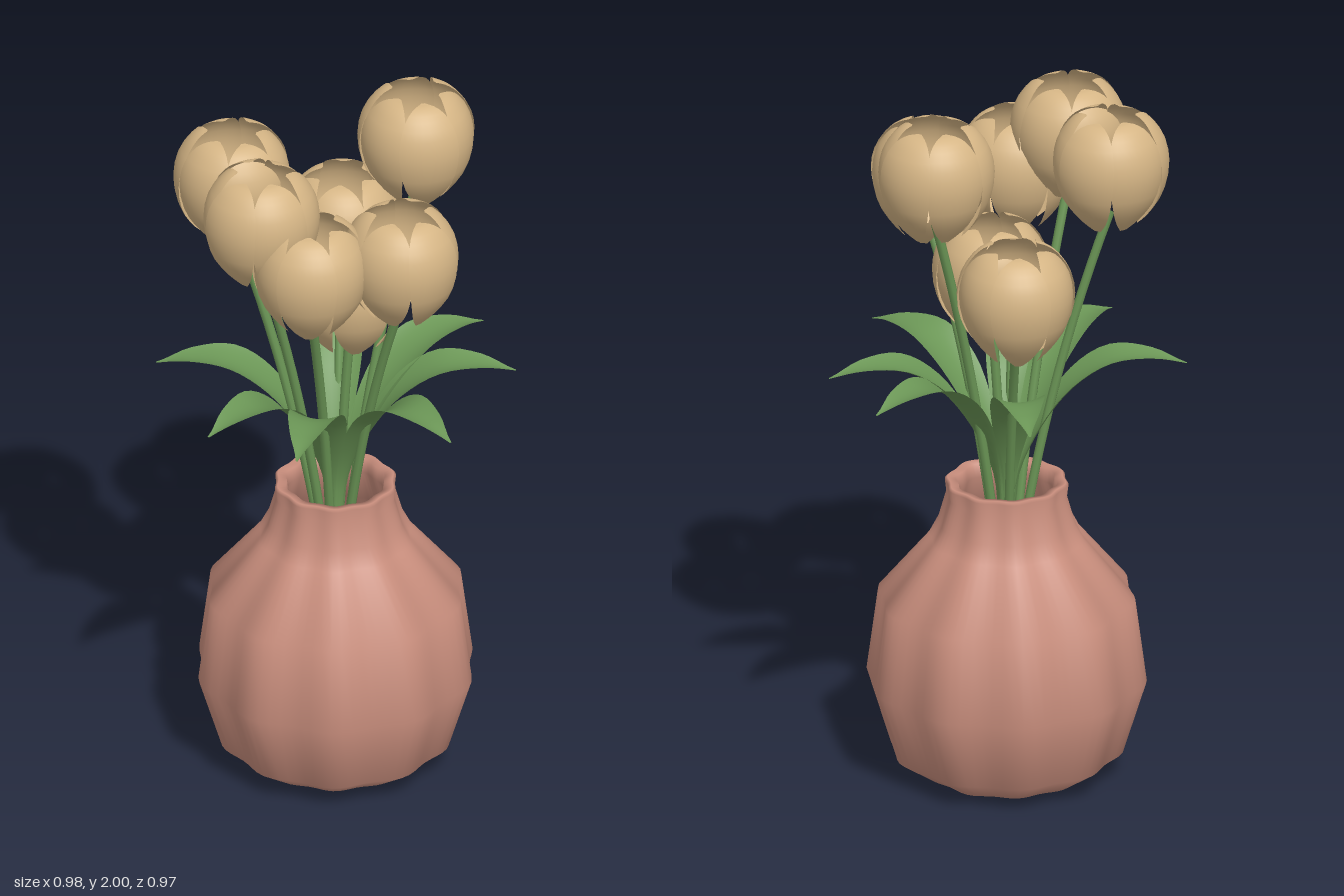
import * as THREE from 'three';
import { mergeVertices } from 'three/addons/utils/BufferGeometryUtils.js';
import { ParametricGeometry } from 'three/addons/geometries/ParametricGeometry.js';

const mat = (name, color, side = THREE.FrontSide) => {
  const m = new THREE.MeshStandardMaterial({ color, side });
  m.name = name;
  return m;
};
const clay = mat('clay pink', 0xc98e7d);
const cream = mat('petal cream', 0xd5b585, THREE.DoubleSide);
const green = mat('leaf green', 0x6b9656, THREE.DoubleSide);

const V = (x, y, z) => new THREE.Vector3(x, y, z);

function mesh(name, geometry, material) {
  const m = new THREE.Mesh(geometry, material);
  m.name = name;
  return m;
}

// Fluted vase with a hollow neck and inner wall
function makeVase() {
  const profile = [
    [0.001, 0], [0.21, 0], [0.22, 0.004], [0.315, 0.07], [0.378, 0.28], [0.347, 0.52], [0.21, 0.69],
    [0.185, 0.74], [0.163, 0.82], [0.167, 0.855], [0.16, 0.862], [0.137, 0.858], [0.132, 0.82],
    [0.16, 0.72], [0.31, 0.51], [0.335, 0.28], [0.26, 0.08], [0.001, 0.04],
  ].map(([r, y]) => new THREE.Vector2(r, y));
  let g = new THREE.LatheGeometry(profile, 80);
  const p = g.attributes.position;
  for (let i = 0; i < p.count; i++) {
    const x = p.getX(i), z = p.getZ(i);
    const s = 1 + 0.028 * Math.cos(10 * Math.atan2(x, z) + 0.6);
    p.setX(i, x * s);
    p.setZ(i, z * s);
  }
  g.deleteAttribute('normal');
  g.deleteAttribute('uv');
  g = mergeVertices(g, 1e-5);
  g.computeVertexNormals();
  return mesh('vase', g, clay);
}

// Petal rows: half width, height, distance from the flower axis
const petalRows = new THREE.CatmullRomCurve3([
  V(0.010, 0, 0.072), V(0.042, 0.04, 0.108), V(0.072, 0.10, 0.145), V(0.088, 0.18, 0.161),
  V(0.083, 0.245, 0.150), V(0.058, 0.295, 0.118), V(0.03, 0.315, 0.09), V(0.005, 0.32, 0.068),
]);

function petalGeometry(offset) {
  return new ParametricGeometry((u, v, target) => {
    const row = petalRows.getPoint(v);
    const r = row.z + offset;
    const a = (u * 2 - 1) * row.x / r;
    target.set(Math.sin(a) * r, row.y, Math.cos(a) * r);
  }, 8, 16);
}
const petals = [petalGeometry(0.002), petalGeometry(-0.004)];

// Cup of six overlapping petals, open at both ends
function makeFlower(x, y, z, turn) {
  const flower = new THREE.Group();
  flower.name = 'flower';
  for (let i = 0; i < 6; i++) {
    const petal = mesh('petal', petals[i % 2], cream);
    petal.rotation.y = i * Math.PI / 3 + turn;
    flower.add(petal);
  }
  flower.position.set(x, y, z);
  return flower;
}

// Stem that rises from the vase and bends out to the flower
function makeStem(x, y, z) {
  const curve = new THREE.QuadraticBezierCurve3(
    V(-x * 0.1, 0.06, -z * 0.1), V(x * 0.12, 0.95, z * 0.12), V(x, y + 0.03, z));
  return mesh('stem', new THREE.TubeGeometry(curve, 20, 0.013, 8), green);
}

// Arching leaf: spine in the x-y plane, half widths along it
const spine = new THREE.CatmullRomCurve3([
  V(0.02, 0.72, 0), V(0.035, 0.88, 0), V(0.10, 1.03, 0), V(0.19, 1.15, 0),
  V(0.29, 1.215, 0), V(0.40, 1.222, 0), V(0.495, 1.2, 0),
]);
const widths = new THREE.SplineCurve([
  [0, 0.014], [0.2, 0.022], [0.4, 0.048], [0.6, 0.069], [0.75, 0.069], [0.9, 0.04], [1, 0.003],
].map(([t, w]) => new THREE.Vector2(t, w)));
const leafGeometry = new ParametricGeometry((u, v, target) => {
  const s = u * 2 - 1;
  const w = Math.max(0.003, widths.getPoint(v).y);
  const p = spine.getPoint(v), t = spine.getTangent(v);
  const lift = 0.25 * w * s * s; // edges cup towards the upper face
  target.set(p.x - t.y * lift, p.y + t.x * lift, -s * w);
}, 8, 24);

export function createModel() {
  const model = new THREE.Group();
  model.name = 'vase of flowers';
  model.add(makeVase());

  // Flower base positions
  const flowers = [
    [0.03, 1.35, -0.275], [0.23, 1.68, -0.15], [-0.28, 1.625, -0.045], [-0.215, 1.63, 0.195],
    [0.17, 1.515, 0.23], [-0.08, 1.51, 0.275], [0.04, 1.305, 0.015],
  ];
  flowers.forEach(([x, y, z], i) => {
    model.add(makeStem(x, y, z), makeFlower(x, y, z, Math.atan2(x, z) + (i % 2) * 0.15));
  });

  // One leaf below each flower, given by its tip direction
  const tips = [[0.49, 0.01], [0.41, -0.26], [0.035, -0.49], [-0.49, -0.08], [-0.37, 0.34], [-0.13, 0.48], [0.3, 0.4]];
  for (const [x, z] of tips) {
    const leaf = mesh('leaf', leafGeometry, green);
    leaf.rotation.y = Math.atan2(-z, x);
    model.add(leaf);
  }
  return model;
}
